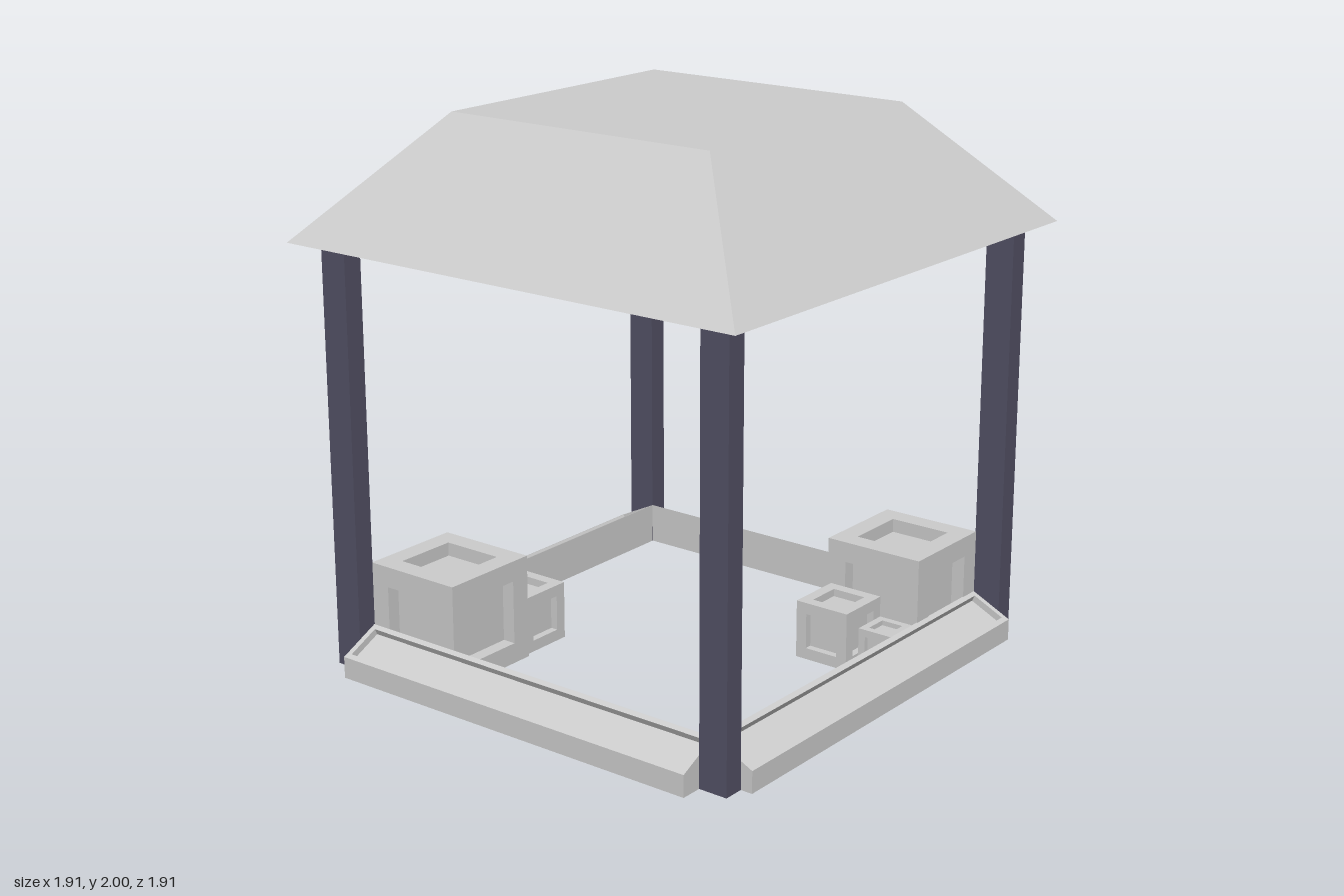
import * as THREE from 'three';

const stone = new THREE.MeshStandardMaterial({ color: 0xcccccc });
stone.name = 'pale grey';
const steel = new THREE.MeshStandardMaterial({ color: 0x525064 });
steel.name = 'dark slate';

// Flat-shaded mesh from a list of quads, corners counter-clockwise from outside
function quadMesh(name, quads, material) {
  const points = quads.flatMap(([a, b, c, d]) => [a, b, c, a, c, d]).flat();
  const geometry = new THREE.BufferGeometry();
  geometry.setAttribute('position', new THREE.Float32BufferAttribute(points, 3));
  geometry.computeVertexNormals();
  const mesh = new THREE.Mesh(geometry, material);
  mesh.name = name;
  return mesh;
}

// Quads joining two matching four-cornered loops
const band = (a, b) => a.map((p, i) => [p, a[(i + 1) % 4], b[(i + 1) % 4], b[i]]);

// Corner loop of a square face at height z
const square = (r, z) => [[-r, -r, z], [r, -r, z], [r, r, z], [-r, r, z]];

// Cube with a sunken panel in each face, standing on y = 0
function crate(name, size, x, z) {
  const r = size / 2, inner = r * 0.61, floor = r * 0.74;
  const face = [
    ...band(square(r, r), square(inner, r)),
    ...band(square(inner, r), square(inner, floor)),
    square(inner, floor),
  ];
  const turns = [0, 1, 2, 3].map((i) => new THREE.Euler(0, (i * Math.PI) / 2, 0));
  turns.push(new THREE.Euler(Math.PI / 2, 0, 0), new THREE.Euler(-Math.PI / 2, 0, 0));
  const quads = turns.flatMap((turn) =>
    face.map((quad) => quad.map((p) => new THREE.Vector3(...p).applyEuler(turn).toArray())));
  const mesh = quadMesh(name, quads, stone);
  mesh.position.set(x, r, z);
  return mesh;
}

// Base rail along x: sloped top with a long sunken panel, outer side towards +z
function rail(name, halfLength, inner) {
  const outer = inner + 0.155, low = 0.08, high = 0.155;
  const h = halfLength;
  const slope = (t, x, drop = 0) => [
    x,
    THREE.MathUtils.lerp(low, high, t) - drop * 0.9,
    THREE.MathUtils.lerp(outer, inner, t) - drop * 0.435,
  ];
  const loop = (t, x, drop) => [
    slope(t, -x, drop), slope(t, x, drop), slope(1 - t, x, drop), slope(1 - t, -x, drop),
  ];
  const top = loop(0, h);
  const rim = loop(0.12, h - 0.02);
  const floor = loop(0.12, h - 0.02, 0.025);
  const base = [[-h, 0, outer], [h, 0, outer], [h, 0, inner], [-h, 0, inner]];
  return quadMesh(name, [
    ...band(base, top), ...band(top, rim), ...band(rim, floor), floor, [...base].reverse(),
  ], stone);
}

export function createModel() {
  const model = new THREE.Group();
  model.name = 'pavilion';

  // Roof: closed, truncated pyramid
  const ring = (r, y) => [[-r, y, r], [r, y, r], [r, y, -r], [-r, y, -r]];
  const eaves = ring(0.955, 1.56), crown = ring(0.55, 2);
  model.add(quadMesh('roof', [...band(eaves, crown), crown, [...eaves].reverse()], stone));

  // Four corner posts
  for (const sx of [-1, 1]) for (const sz of [-1, 1]) {
    const post = new THREE.Mesh(new THREE.BoxGeometry(0.11, 1.56, 0.076), steel);
    post.name = 'cornerPost';
    post.position.set(sx * 0.818, 0.78, sz * 0.836);
    model.add(post);
  }

  // Each half holds two rails and one corner stack; the other is turned half round
  for (const [name, turn] of [['backHalf', 0], ['frontHalf', Math.PI]]) {
    const half = new THREE.Group();
    half.name = name;
    const endRail = rail('endRail', 0.763, 0.8);
    endRail.rotation.y = Math.PI;
    const sideRail = rail('sideRail', 0.798, 0.763);
    sideRail.rotation.y = Math.PI / 2;
    half.add(
      endRail,
      sideRail,
      crate('largeCrate', 0.39, 0.57, -0.603),
      crate('mediumCrate', 0.217, 0.498, -0.299),
      crate('smallCrate', 0.14, 0.678, -0.337),
    );
    half.rotation.y = turn;
    model.add(half);
  }
  return model;
}
